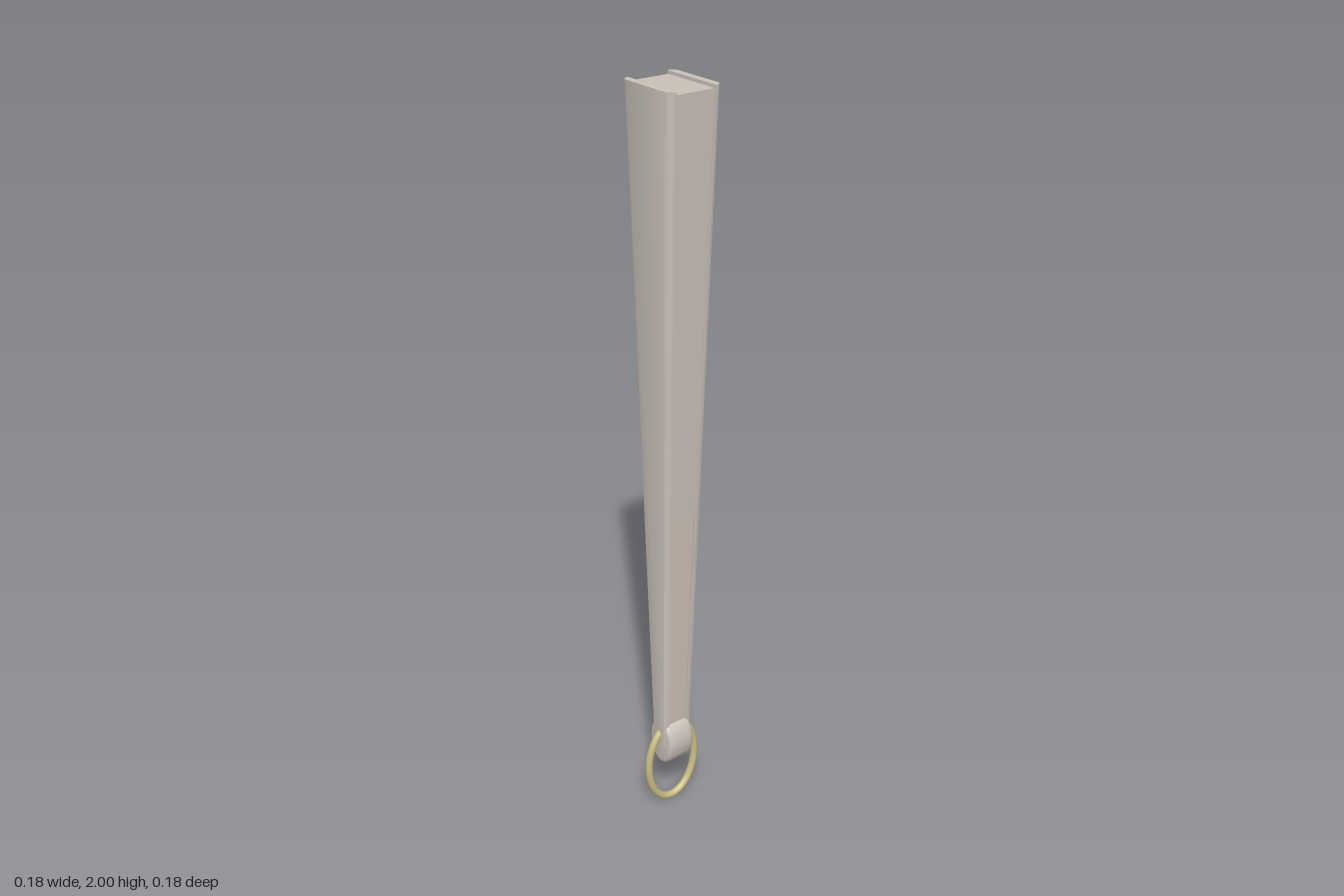
import * as THREE from 'three';
import { toCreasedNormals } from 'three/addons/utils/BufferGeometryUtils.js';

const mat = (name, color) => {
  const m = new THREE.MeshStandardMaterial({ color });
  m.name = name;
  return m;
};

const BOTTOM = 0.2, TOP = 2;
const at = (y, low, high) => THREE.MathUtils.lerp(low, high, (y - 0.28) / (TOP - 0.28));
const halfWidth = (y) => at(y, 0.027, 0.088);
const innerZ = (y) => at(y, 0.028, 0.055);
const outerZ = (y) => at(y, 0.045, 0.074);

// Stretches a unit section (x across, y through the thickness) along the tapering height
function taper(shape, y0, y1, place) {
  const geo = new THREE.ExtrudeGeometry(shape, { depth: 1, steps: 1, bevelEnabled: false, curveSegments: 6 });
  geo.rotateX(-Math.PI / 2);
  const p = geo.attributes.position;
  for (let i = 0; i < p.count; i++) {
    const y = y0 + p.getY(i) * (y1 - y0);
    const [x, z] = place(p.getX(i), -p.getZ(i), y);
    p.setXYZ(i, x, y, -z);
  }
  return toCreasedNormals(geo, 0.6);
}

export function createModel() {
  const group = new THREE.Group();
  const guardMat = mat('pale guard', 0xc9c2b9);
  const leafMat = mat('folded leaf', 0xc9c0b7);
  const stickMat = mat('sticks', 0xcbbfb4);
  const ringMat = mat('brass', 0xc9bd83);
  const add = (name, geo, material) => {
    const mesh = new THREE.Mesh(geo, material);
    mesh.name = name;
    group.add(mesh);
    return mesh;
  };

  // Outer guards with rounded outside edges
  const section = new THREE.Shape();
  section.moveTo(-1, 0);
  section.lineTo(1, 0);
  section.lineTo(1, 0.15);
  section.bezierCurveTo(1, 0.6, 0.91, 1, 0.8, 1);
  section.lineTo(-0.8, 1);
  section.bezierCurveTo(-0.91, 1, -1, 0.6, -1, 0.15);
  section.closePath();
  const guardGeo = taper(section, BOTTOM, TOP, (x, t, y) =>
    [x * halfWidth(y), THREE.MathUtils.lerp(innerZ(y), outerZ(y), t)]);
  add('backGuard', guardGeo, guardMat);
  add('frontGuard', guardGeo, guardMat).rotation.y = Math.PI;

  // Closed leaf above, slightly narrower sticks below
  const block = new THREE.Shape([[-1, -1], [1, -1], [1, 1], [-1, 1]].map(([x, y]) => new THREE.Vector2(x, y)));
  const core = (y0, y1, s) => taper(block, y0, y1, (x, t, y) => [x * halfWidth(y) * s, t * innerZ(y)]);
  add('leaf', core(0.9, 1.992, 0.965), leafMat);
  add('sticks', core(BOTTOM, 0.9, 0.86), stickMat);

  // Oval head with softened rims
  const bevel = 0.012;
  const oval = new THREE.Shape();
  oval.absellipse(0, 0, 0.046 - bevel, 0.07 - bevel, 0, Math.PI * 2);
  const headGeo = new THREE.ExtrudeGeometry(oval, {
    depth: 0.082 - 2 * bevel, bevelSize: bevel, bevelThickness: bevel, bevelSegments: 4, curveSegments: 20,
  });
  headGeo.translate(0, 0.21, -0.041 + bevel);
  add('head', toCreasedNormals(headGeo, 0.7), guardMat);

  // Oval ring hanging through the head
  const points = [];
  for (let i = 0; i < 48; i++) {
    const a = (i / 48) * Math.PI * 2;
    points.push(new THREE.Vector3(0, 0.133 + 0.123 * Math.sin(a), 0.078 * Math.cos(a)));
  }
  const path = new THREE.CatmullRomCurve3(points, true);
  add('ring', new THREE.TubeGeometry(path, 64, 0.01, 12, true), ringMat);

  return group;
}
